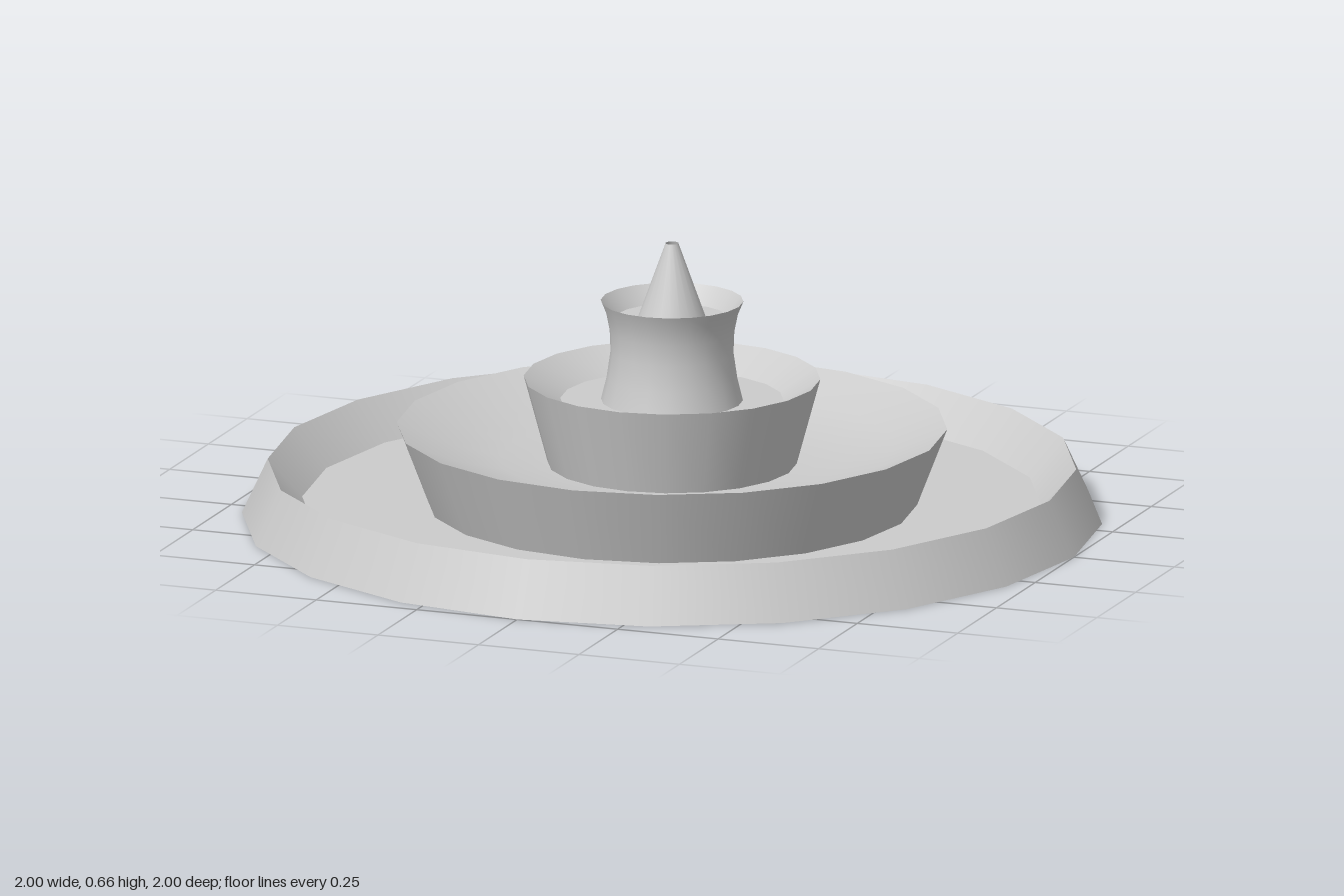
import * as THREE from 'three';

const SIDES = 20;

export function createModel() {
  const material = new THREE.MeshStandardMaterial({ color: 0xcccccc, side: THREE.DoubleSide });
  const fountain = new THREE.Group();
  fountain.name = 'fountain';

  // Each part is a group of thin turned shells; separate shells keep the rims sharp.
  // Profile points are [radius, height].
  function addPart(name, shells) {
    const part = new THREE.Group();
    part.name = name;
    for (const [shellName, profile] of Object.entries(shells)) {
      const points = profile.map(([r, y]) => new THREE.Vector2(r, y));
      const mesh = new THREE.Mesh(new THREE.LatheGeometry(points, SIDES), material);
      mesh.name = shellName;
      part.add(mesh);
    }
    fountain.add(part);
  }

  // Wide pool with a sharp sloping rim
  addPart('pool', {
    poolOuterWall: [[1, 0], [0.94, 0.13]],
    poolInnerWall: [[0.94, 0.13], [0.86, 0.04]],
    poolFloor: [[0.86, 0.04], [0.57, 0.04]],
  });

  // Flared lower basin with a shallow rounded bowl
  addPart('lowerBasin', {
    lowerBasinWall: [[0.57, 0.04], [0.64, 0.222]],
    lowerBasinBowl: [[0.64, 0.222], [0.52, 0.172], [0.4, 0.143], [0.29, 0.135]],
  });

  // Flared upper basin with a flat floor
  addPart('upperBasin', {
    upperBasinWall: [[0.29, 0.135], [0.345, 0.338]],
    upperBasinBowl: [[0.345, 0.338], [0.26, 0.285]],
    upperBasinFloor: [[0.26, 0.285], [0.165, 0.285]],
  });

  // Waisted stem carrying a small cup
  addPart('stem', {
    stemWall: [[0.165, 0.285], [0.152, 0.338], [0.143, 0.4], [0.145, 0.45], [0.153, 0.49], [0.166, 0.522]],
    cupInnerWall: [[0.166, 0.522], [0.132, 0.48]],
    cupFloor: [[0.132, 0.48], [0.08, 0.48]],
  });

  // Open-tipped conical spout
  addPart('spout', { spoutCone: [[0.08, 0.48], [0.015, 0.66]] });

  return fountain;
}
